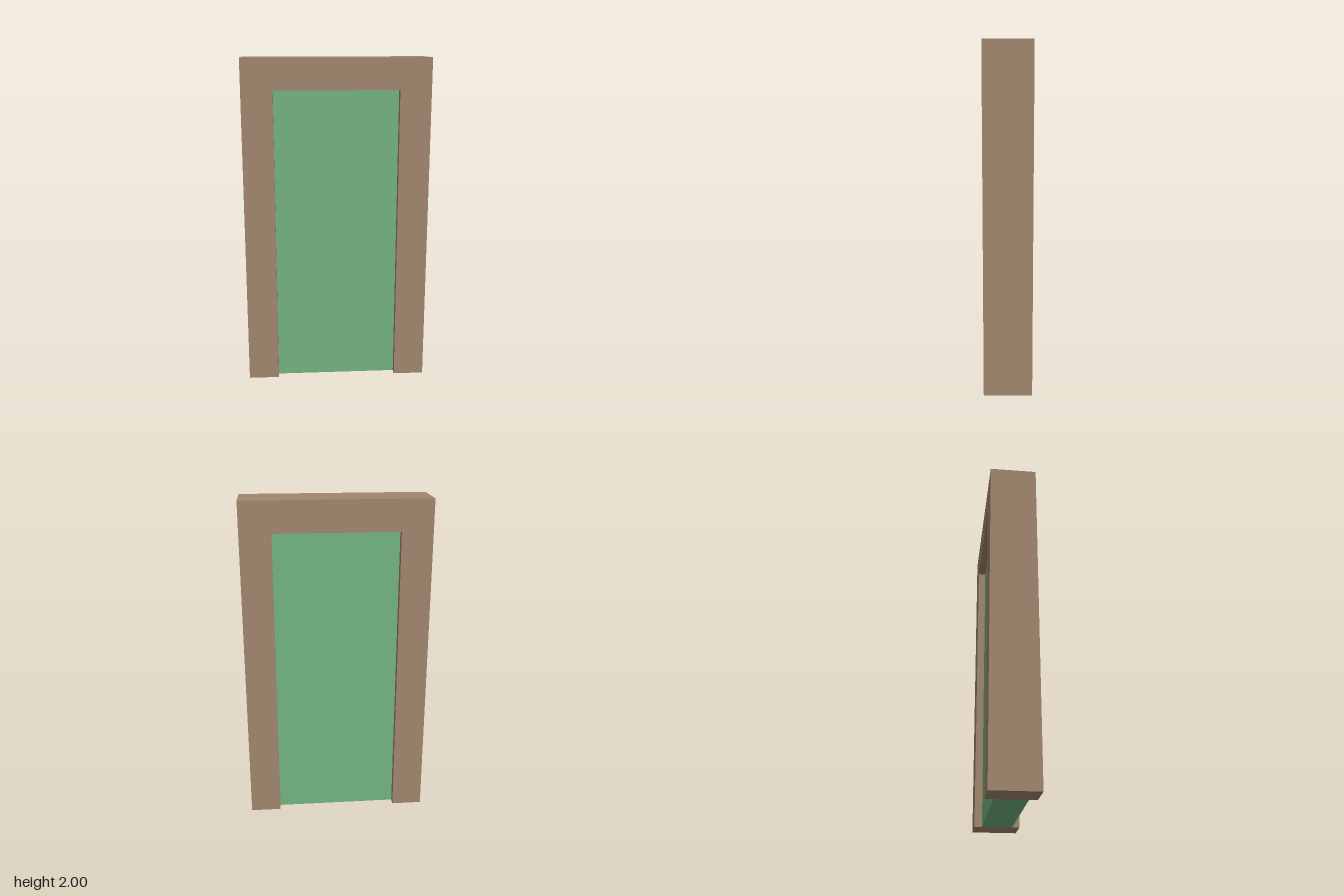
import * as THREE from 'three';

const WIDTH = 1.116, HEIGHT = 2, DEPTH = 0.279;
const OPENING_WIDTH = 0.744, OPENING_HEIGHT = 1.814, DOOR_DEPTH = 0.186;

export function createModel() {
  const group = new THREE.Group();
  group.name = 'framedDoor';

  const frameBrown = new THREE.MeshStandardMaterial({ color: 0xa1866d });
  frameBrown.name = 'frameBrown';
  const doorGreen = new THREE.MeshStandardMaterial({ color: 0x72b27e });
  doorGreen.name = 'doorGreen';

  // Box centred on z, resting on height y
  const addBox = (name, material, w, h, d, x, y) => {
    const mesh = new THREE.Mesh(new THREE.BoxGeometry(w, h, d), material);
    mesh.name = name;
    mesh.position.set(x, y + h / 2, 0);
    group.add(mesh);
  };

  // Side posts
  const postWidth = (WIDTH - OPENING_WIDTH) / 2;
  for (const [name, side] of [['leftPost', 1], ['rightPost', -1]]) {
    addBox(name, frameBrown, postWidth, OPENING_HEIGHT, DEPTH, side * (WIDTH - postWidth) / 2, 0);
  }

  // Lintel across the posts
  addBox('lintel', frameBrown, WIDTH, HEIGHT - OPENING_HEIGHT, DEPTH, 0, OPENING_HEIGHT);

  // Door panel, recessed on both faces
  addBox('doorPanel', doorGreen, OPENING_WIDTH, OPENING_HEIGHT, DOOR_DEPTH, 0, 0);

  return group;
}
